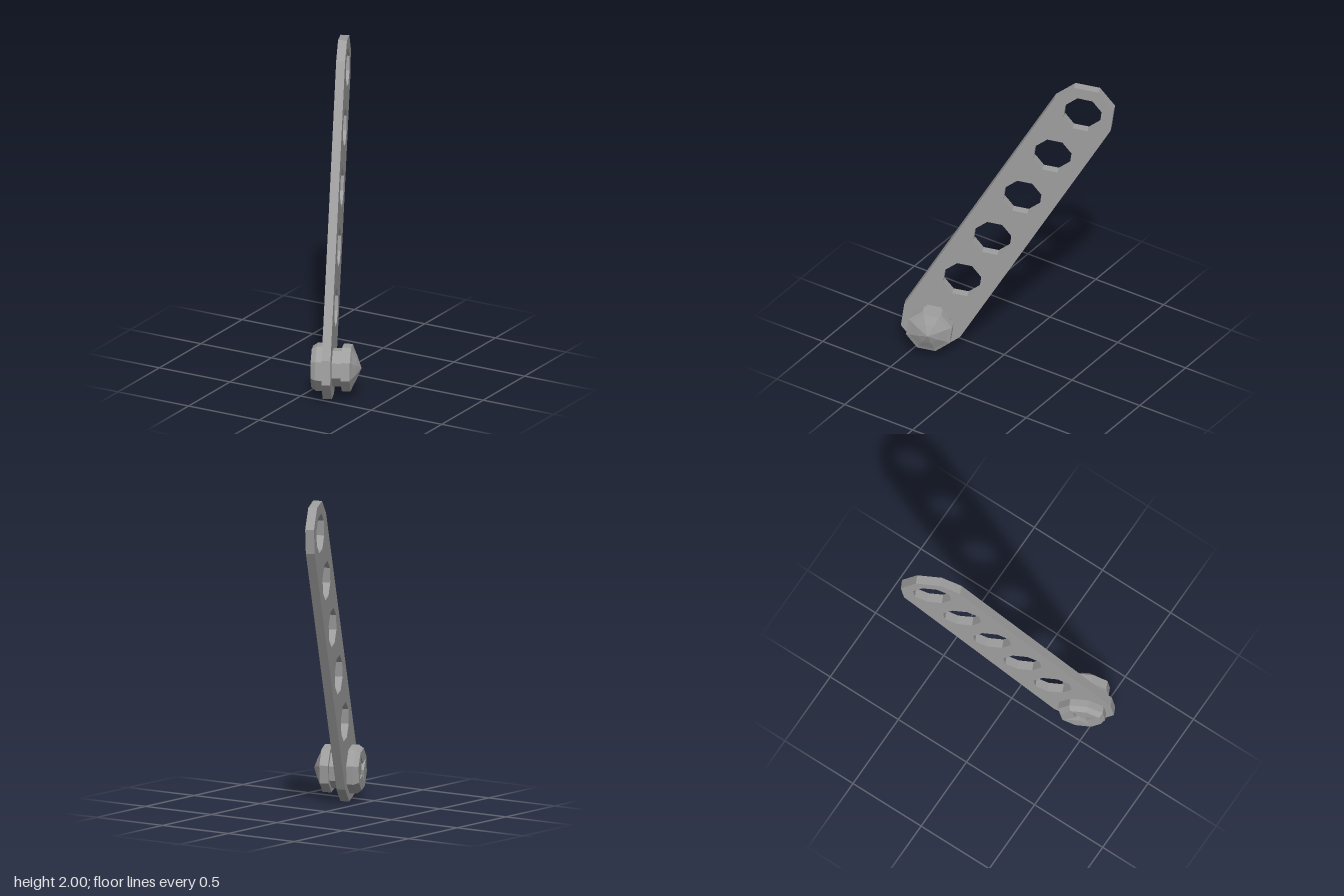
import * as THREE from 'three';

const material = new THREE.MeshStandardMaterial({ color: 0x9e9e9e, flatShading: true });
const PITCH = 0.3724, HOLES = 6, HALF = PITCH * (HOLES - 1) / 2;
const BAR_R = 0.2, HOLE_R = 0.122, THICK = 0.055;

const polar = (r, a, cy = 0) => new THREE.Vector2(r * Math.cos(a), cy + r * Math.sin(a));

// closed ring of n points; radii alternate through the given list
function ring(n, radii, cy = 0) {
  return Array.from({ length: n }, (_, i) => polar(radii[i % radii.length], (i / n) * Math.PI * 2, cy));
}

function addMesh(parent, name, geometry) {
  const mesh = new THREE.Mesh(geometry, material);
  mesh.name = name;
  parent.add(mesh);
}

// eight-sided turned part along z; profile is [radius, z] with z rising
function turned(profile) {
  const points = profile.map(([r, z]) => new THREE.Vector2(r, z));
  return new THREE.LatheGeometry(points, 8).rotateX(Math.PI / 2);
}

// flat strip with faceted round ends and a row of octagonal holes
function barGeometry() {
  const outline = [];
  for (let i = 0; i <= 4; i++) outline.push(polar(BAR_R, i * Math.PI / 4, HALF));
  for (let i = 4; i <= 8; i++) outline.push(polar(BAR_R, i * Math.PI / 4, -HALF));
  const shape = new THREE.Shape(outline);
  for (let i = 0; i < HOLES; i++) {
    shape.holes.push(new THREE.Path(ring(8, [HOLE_R], -HALF + i * PITCH)));
  }
  return new THREE.ExtrudeGeometry(shape, { depth: THICK, bevelEnabled: false })
    .translate(0, 0, -THICK / 2);
}

// front of the bolt head with a four-pointed star socket
function headFaceGeometry() {
  const shape = new THREE.Shape(ring(8, [0.13]));
  shape.holes.push(new THREE.Path(ring(8, [0.105, 0.035])));
  return new THREE.ExtrudeGeometry(shape, { depth: 0.03, bevelEnabled: false })
    .translate(0, 0, -0.101);
}

export function createModel() {
  const model = new THREE.Group();
  model.name = 'perforatedBarWithBolt';

  const assembly = new THREE.Group();
  assembly.name = 'tiltedAssembly';
  assembly.position.set(-0.042, 1, 0);
  assembly.rotation.set(0, THREE.MathUtils.degToRad(114.9), -Math.PI / 6);
  model.add(assembly);

  addMesh(assembly, 'perforatedBar', barGeometry());

  // bolt through the lowest hole
  const bolt = new THREE.Group();
  bolt.name = 'bolt';
  bolt.position.y = -HALF;
  assembly.add(bolt);
  addMesh(bolt, 'headRim', turned([[0.13, -0.101], [0.151, -0.071], [0.151, -0.027], [0, -0.027]]));
  addMesh(bolt, 'headSocketFace', headFaceGeometry());
  addMesh(bolt, 'shaft', turned([[0, -0.075], [0.12, -0.075], [0.12, 0.09]]));
  addMesh(bolt, 'pointedNut', turned([[0, 0.086], [0.148, 0.086], [0.148, 0.141], [0.125, 0.149], [0.07, 0.175], [0, 0.202]]));

  return model;
}
